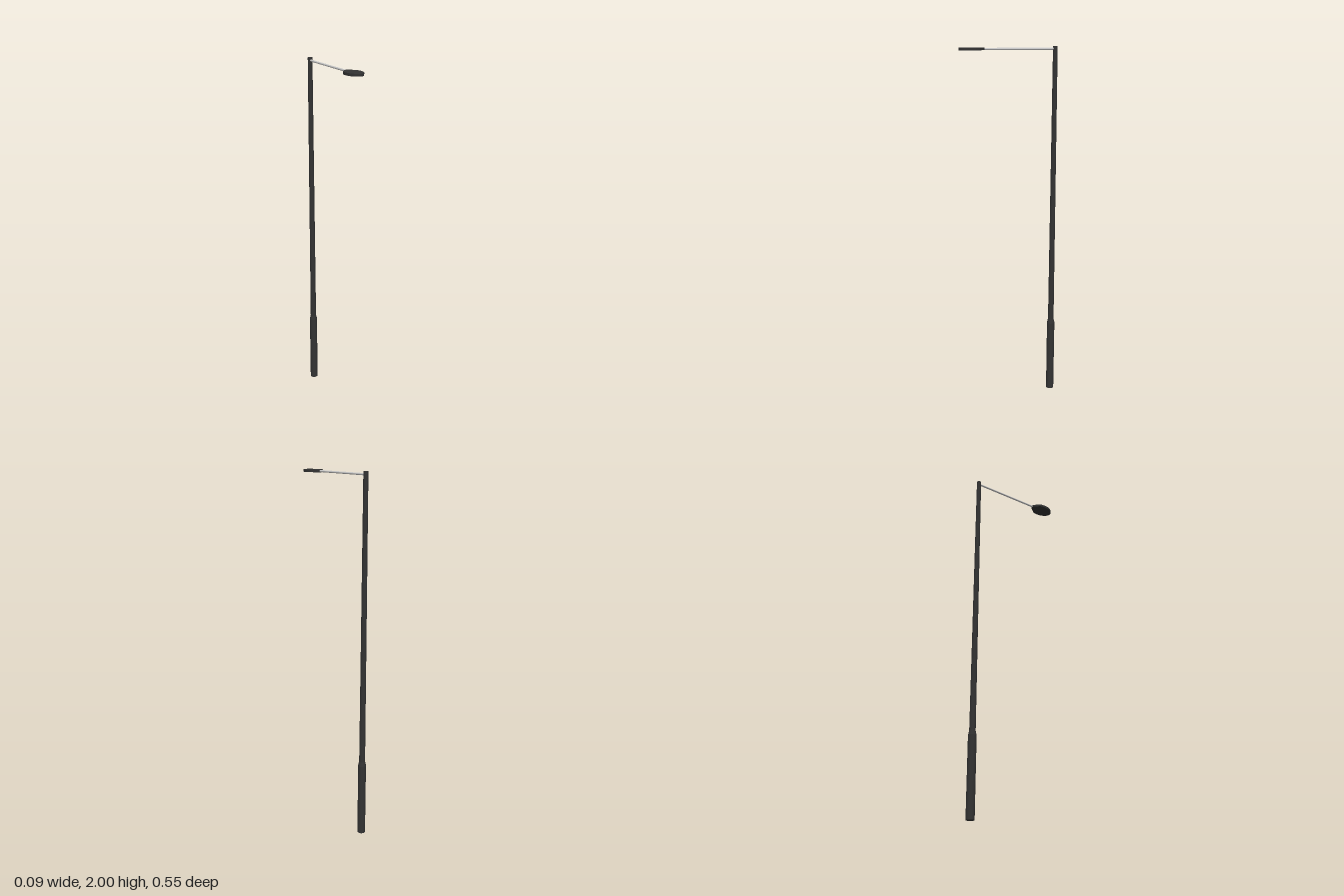
import * as THREE from 'three';

const dark = new THREE.MeshStandardMaterial({ color: 0x333333 });
const grey = new THREE.MeshStandardMaterial({ color: 0xcccccc });
const POLE_Z = -0.254;
const ARM_Y = 1.985;

function add(group, name, geometry, material, y, z) {
  const mesh = new THREE.Mesh(geometry, material);
  mesh.name = name;
  mesh.position.set(0, y, z);
  group.add(mesh);
  return mesh;
}

// Upright round section between two heights
function section(group, name, y0, y1, r0, r1) {
  add(group, name, new THREE.CylinderGeometry(r1, r0, y1 - y0, 24), dark, (y0 + y1) / 2, POLE_Z);
}

// Flat oval lamp outline, drawn in x and z, with a narrow neck toward the arm
function headShape() {
  const shape = new THREE.Shape();
  shape.moveTo(0.036, 0.172);
  shape.absellipse(0, 0.206, 0.044, 0.069, -0.52, Math.PI + 0.52, false);
  shape.quadraticCurveTo(-0.029, 0.163, -0.018, 0.149);
  shape.quadraticCurveTo(-0.01, 0.138, 0, 0.138);
  shape.quadraticCurveTo(0.01, 0.138, 0.018, 0.149);
  shape.quadraticCurveTo(0.029, 0.163, 0.036, 0.172);
  return shape;
}

export function createModel() {
  const model = new THREE.Group();
  model.name = 'streetLamp';

  // Pole: thick base, short collar, slim tapering shaft
  section(model, 'poleBase', 0, 0.42, 0.022, 0.022);
  section(model, 'poleCollar', 0.42, 0.445, 0.022, 0.0165);
  section(model, 'poleShaft', 0.445, 2, 0.0165, 0.0125);

  // Horizontal arm reaching forward from the pole top
  const armEnd = 0.15;
  const arm = new THREE.CylinderGeometry(0.0055, 0.0055, armEnd - POLE_Z, 16);
  arm.rotateX(Math.PI / 2);
  add(model, 'arm', arm, grey, ARM_Y, (armEnd + POLE_Z) / 2);

  // Lamp head: thin slab
  const thickness = 0.013;
  const head = new THREE.ExtrudeGeometry(headShape(), {
    depth: thickness, bevelEnabled: false, curveSegments: 28,
  });
  head.rotateX(Math.PI / 2);
  add(model, 'lampHead', head, dark, ARM_Y + thickness / 2, 0);

  return model;
}
